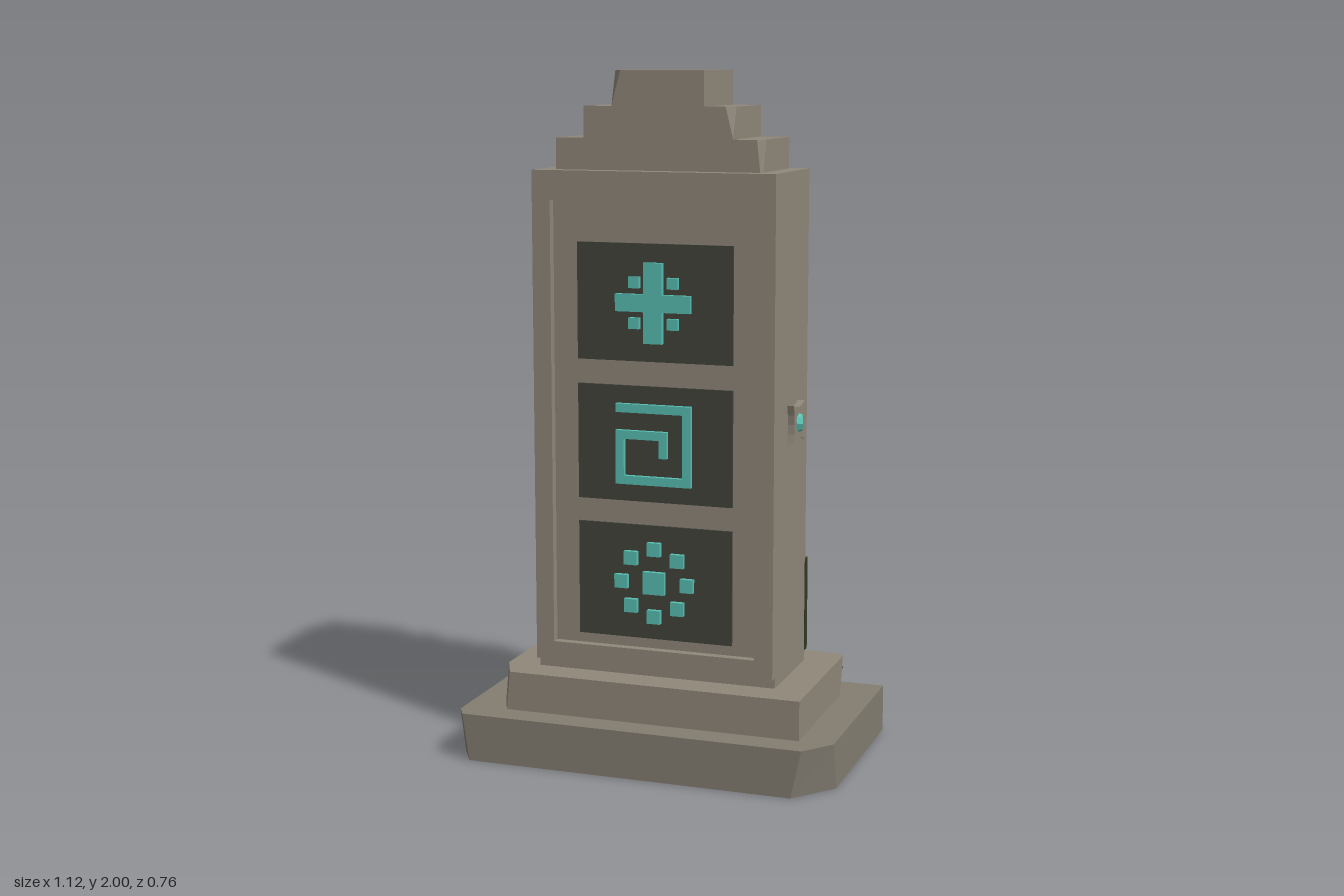
import * as THREE from 'three';

const mat = (color) => new THREE.MeshStandardMaterial({ color, flatShading: true });
const stone = mat(0x8f877a), baseStone = mat(0x837d71), dark = mat(0x43433d);
const teal = mat(0x58c0b2), moss = mat(0x323c22);

function add(parent, name, geometry, material) {
  const mesh = new THREE.Mesh(geometry, material);
  mesh.name = name;
  parent.add(mesh);
  return mesh;
}

// box given by its limits
function bounds(parent, name, material, x0, x1, y0, y1, z0, z1) {
  const mesh = add(parent, name, new THREE.BoxGeometry(x1 - x0, y1 - y0, z1 - z0), material);
  mesh.position.set((x0 + x1) / 2, (y0 + y1) / 2, (z0 + z1) / 2);
  return mesh;
}

// solid between two [x, z] outlines, anticlockwise seen from above
function loft(bottom, y0, top, y1) {
  const pos = [], n = top.length;
  const b = bottom.map(([x, z]) => [x, y0, z]), t = top.map(([x, z]) => [x, y1, z]);
  const tri = (...corners) => corners.forEach((c) => pos.push(...c));
  for (let i = 0; i < n; i++) {
    const j = (i + 1) % n;
    tri(b[i], b[j], t[j]);
    tri(b[i], t[j], t[i]);
    if (i > 0 && i < n - 1) {
      tri(t[0], t[i], t[j]);
      tri(b[0], b[j], b[i]);
    }
  }
  const geometry = new THREE.BufferGeometry();
  geometry.setAttribute('position', new THREE.Float32BufferAttribute(pos, 3));
  geometry.computeVertexNormals();
  return geometry;
}

// block with broken corners; each chip is [dxTop, dzTop, dxBottom, dzBottom]
function chippedBlock(x0, x1, y0, y1, z0, z1, chips) {
  const outline = (k) => {
    const cut = (corner, x, z, sx, sz, alongXFirst) => {
      const c = chips[corner];
      if (!c) return [[x, z]];
      const pts = [[x + sx * c[k], z], [x, z + sz * c[k + 1]]];
      return alongXFirst ? pts : pts.reverse();
    };
    return [
      ...cut('frontLeft', x1, z1, -1, -1, true),
      ...cut('backLeft', x1, z0, -1, 1, false),
      ...cut('backRight', x0, z0, 1, 1, true),
      ...cut('frontRight', x0, z1, 1, -1, false),
    ];
  };
  return loft(outline(2), y0, outline(0), y1);
}

export function createModel() {
  const model = new THREE.Group();
  model.name = 'steppedMonument';

  // Plinth
  add(model, 'plinthLower', chippedBlock(-0.565, 0.56, 0, 0.14, -0.295, 0.378, {
    frontLeft: [0.07, 0.088, 0.1, 0.121], frontRight: [0.025, 0.043, 0.045, 0.075],
  }), baseStone);
  add(model, 'plinthUpper', chippedBlock(-0.465, 0.46, 0.14, 0.255, -0.21, 0.295, {
    frontRight: [0.042, 0.09, 0.031, 0.065], backLeft: [0.015, 0.025, 0.03, 0.053],
  }), stone);

  // Shaft with a raised border round the front
  bounds(model, 'shaft', stone, -0.365, 0.36, 0.255, 1.72, -0.11, 0.2);
  const rect = (Type, x0, x1, y0, y1) => new Type([[x0, y0], [x1, y0], [x1, y1], [x0, y1]]
    .map(([x, y]) => new THREE.Vector2(x, y)));
  const border = rect(THREE.Shape, -0.365, 0.36, 0.285, 1.72);
  border.holes.push(rect(THREE.Path, -0.31, 0.305, 0.34, 1.635));
  add(model, 'frontBorder', new THREE.ExtrudeGeometry(border, { depth: 0.026, bevelEnabled: false }), stone)
    .position.z = 0.2;

  // Stepped crown
  add(model, 'crownLower', chippedBlock(-0.31, 0.305, 1.72, 1.81, -0.09, 0.175,
    { frontLeft: [0.016, 0.035, 0.006, 0.01] }), stone);
  add(model, 'crownMiddle', chippedBlock(-0.225, 0.22, 1.81, 1.9, -0.09, 0.175,
    { frontLeft: [0.022, 0.03, 0, 0] }), stone);
  add(model, 'crownTop', chippedBlock(-0.14, 0.135, 1.9, 2, -0.09, 0.175,
    { frontRight: [0.027, 0.033, 0, 0] }), stone);

  // Dark panels carrying raised symbols made of bars [x0, x1, y0, y1]
  const square = (x, y, s) => [x - s / 2, x + s / 2, y - s / 2, y + s / 2];
  const cross = [[-0.115, 0.11, -0.025, 0.025], [-0.03, 0.026, 0.025, 0.115], [-0.03, 0.026, -0.115, -0.025]];
  for (const sx of [-1, 1]) for (const sy of [-1, 1]) cross.push(square(sx * 0.058 - 0.001, sy * 0.058, 0.032));
  const spiral = [
    [-0.115, 0.112, 0.092, 0.117], [0.087, 0.112, -0.092, 0.092], [-0.115, 0.112, -0.117, -0.092],
    [-0.115, -0.09, -0.092, 0.015], [-0.115, 0.04, 0.015, 0.04], [0.016, 0.04, -0.037, 0.015],
  ];
  const ring = [square(-0.001, 0, 0.066)];
  for (let i = 0; i < 8; i++) {
    const a = (i * Math.PI) / 4;
    ring.push(square(0.1 * Math.cos(a) - 0.001, 0.1 * Math.sin(a), 0.04));
  }
  [['cross', 1.35, cross], ['spiral', 0.943, spiral], ['ring', 0.538, ring]].forEach(([name, y, bars]) => {
    const panel = new THREE.Group();
    panel.name = name + 'Panel';
    panel.position.y = y;
    bounds(panel, 'panelPlate', dark, -0.235, 0.232, -0.168, 0.168, 0.195, 0.207);
    bars.forEach((b) => bounds(panel, name + 'Bar', teal, ...b, 0.2, 0.222));
    model.add(panel);
  });

  // Side badges: a plate with hollow edges and a tilted gem
  const h = 0.056, q = 0.036;
  const plate = new THREE.Shape();
  plate.moveTo(-h, -h);
  plate.quadraticCurveTo(0, -q, h, -h);
  plate.quadraticCurveTo(q, 0, h, h);
  plate.quadraticCurveTo(0, q, -h, h);
  plate.quadraticCurveTo(-q, 0, -h, -h);
  const plateGeometry = new THREE.ExtrudeGeometry(plate, { depth: 0.02, bevelEnabled: false, curveSegments: 4 });
  const gemGeometry = new THREE.CylinderGeometry(0.024, 0.03, 0.018, 8).rotateX(Math.PI / 2);
  for (const side of [1, -1]) {
    const badge = new THREE.Group();
    badge.name = side > 0 ? 'leftBadge' : 'rightBadge';
    badge.position.set(side > 0 ? 0.36 : -0.365, 1.003, 0.042);
    badge.rotation.y = (side * Math.PI) / 2;
    add(badge, 'badgePlate', plateGeometry, stone);
    const gem = add(badge, 'badgeGem', gemGeometry, teal);
    gem.position.z = 0.02;
    gem.rotation.y = 0.35;
    model.add(badge);
  }

  // Moss on the back and a loose slab on the plinth
  bounds(model, 'backMoss', moss, -0.255, 0.362, 0.286, 0.567, -0.13, -0.105);
  add(model, 'mossSlab', loft(
    [[0.42, -0.21], [0.405, -0.365], [0.285, -0.36], [0.272, -0.345], [0.288, -0.21]], 0.138,
    [[0.422, -0.21], [0.411, -0.378], [0.29, -0.37], [0.288, -0.345], [0.29, -0.21]], 0.162), moss);

  return model;
}
